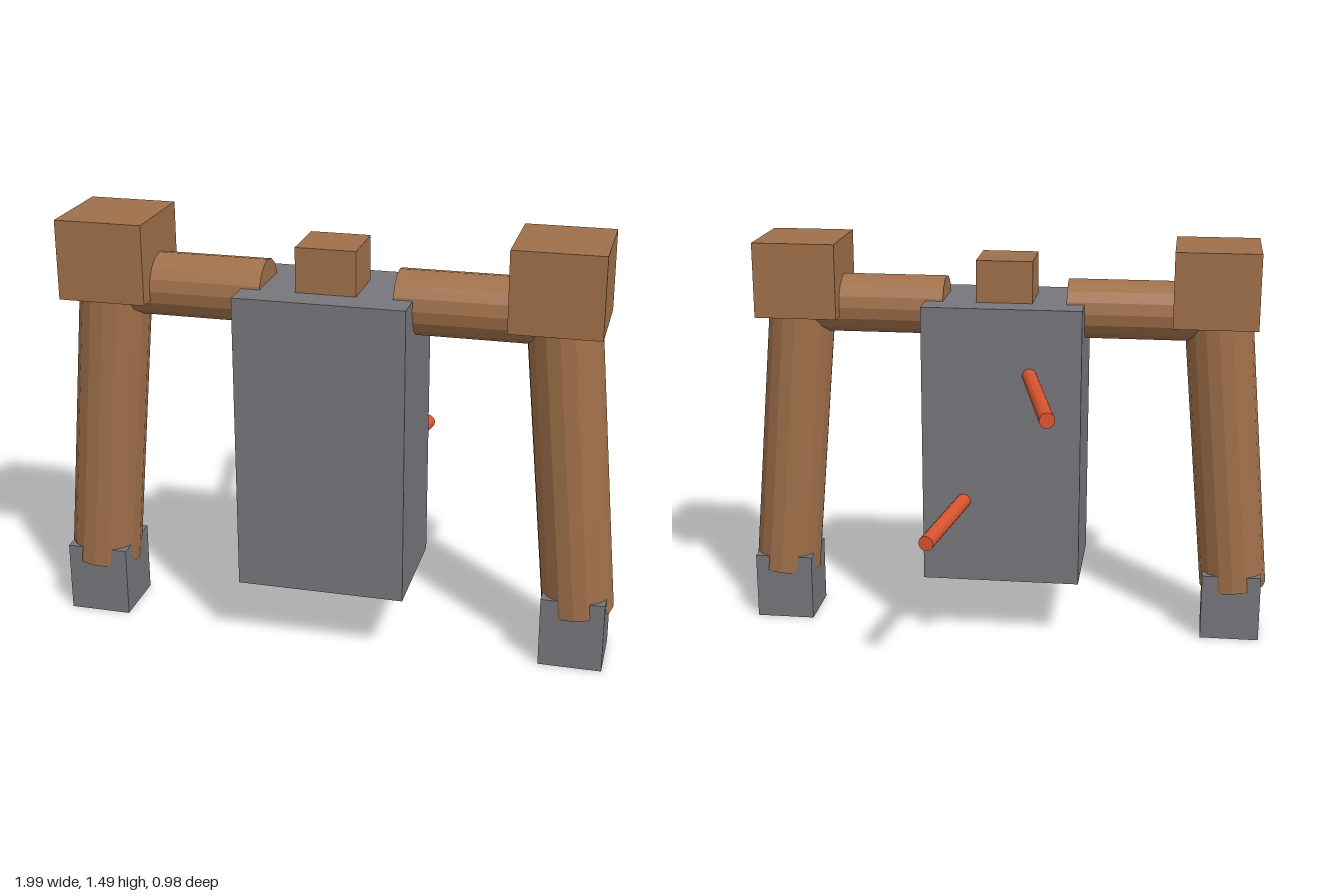
import * as THREE from 'three';

const Z = 0.282; // depth of the body's centre plane

const material = (color) => new THREE.MeshStandardMaterial({ color, flatShading: true });

export function createModel() {
  const model = new THREE.Group();
  const brown = material(0xa0704a);
  const grey = material(0x77767b);
  const orange = material(0xd9542f);

  const box = (name, mat, size, pos) => {
    const mesh = new THREE.Mesh(new THREE.BoxGeometry(...size), mat);
    mesh.name = name;
    mesh.position.set(...pos);
    model.add(mesh);
  };

  // Cylinder running from one point to another
  const rod = (name, mat, radius, from, to, sides = 16) => {
    const a = new THREE.Vector3(...from);
    const b = new THREE.Vector3(...to);
    const dir = b.clone().sub(a);
    const mesh = new THREE.Mesh(new THREE.CylinderGeometry(radius, radius, dir.length(), sides), mat);
    mesh.name = name;
    mesh.position.copy(a).add(b).multiplyScalar(0.5);
    mesh.quaternion.setFromUnitVectors(new THREE.Vector3(0, 1, 0), dir.normalize());
    model.add(mesh);
  };

  // Body and head
  box('torso', grey, [0.585, 1.045, 0.42], [0, 0.758, Z]);
  box('head', brown, [0.207, 0.21, 0.207], [0, 1.33, Z]);

  // Shoulders, arms and hands, mirrored
  for (const [side, s] of [['left', 1], ['right', -1]]) {
    rod(side + 'ShoulderBar', brown, 0.11, [s * 0.227, 1.247, Z], [s * 0.77, 1.247, Z]);
    box(side + 'Shoulder', brown, [0.305, 0.277, 0.333], [s * 0.766, 1.353, Z]);
    rod(side + 'Arm', brown, 0.125, [s * 0.872, 0.188, Z + 0.002], [s * 0.766, 1.35, Z + 0.002]);
    box(side + 'Hand', grey, [0.22, 0.252, 0.222], [s * 0.865, 0.126, Z + 0.002]);
  }

  // Rods sticking out of the back
  rod('upperBackRod', orange, 0.027, [-0.08, 1.037, 0.19], [-0.222, 1.037, -0.486]);
  rod('lowerBackRod', orange, 0.027, [0.123, 0.549, 0.19], [0.204, 0.549, -0.385]);

  return model;
}
